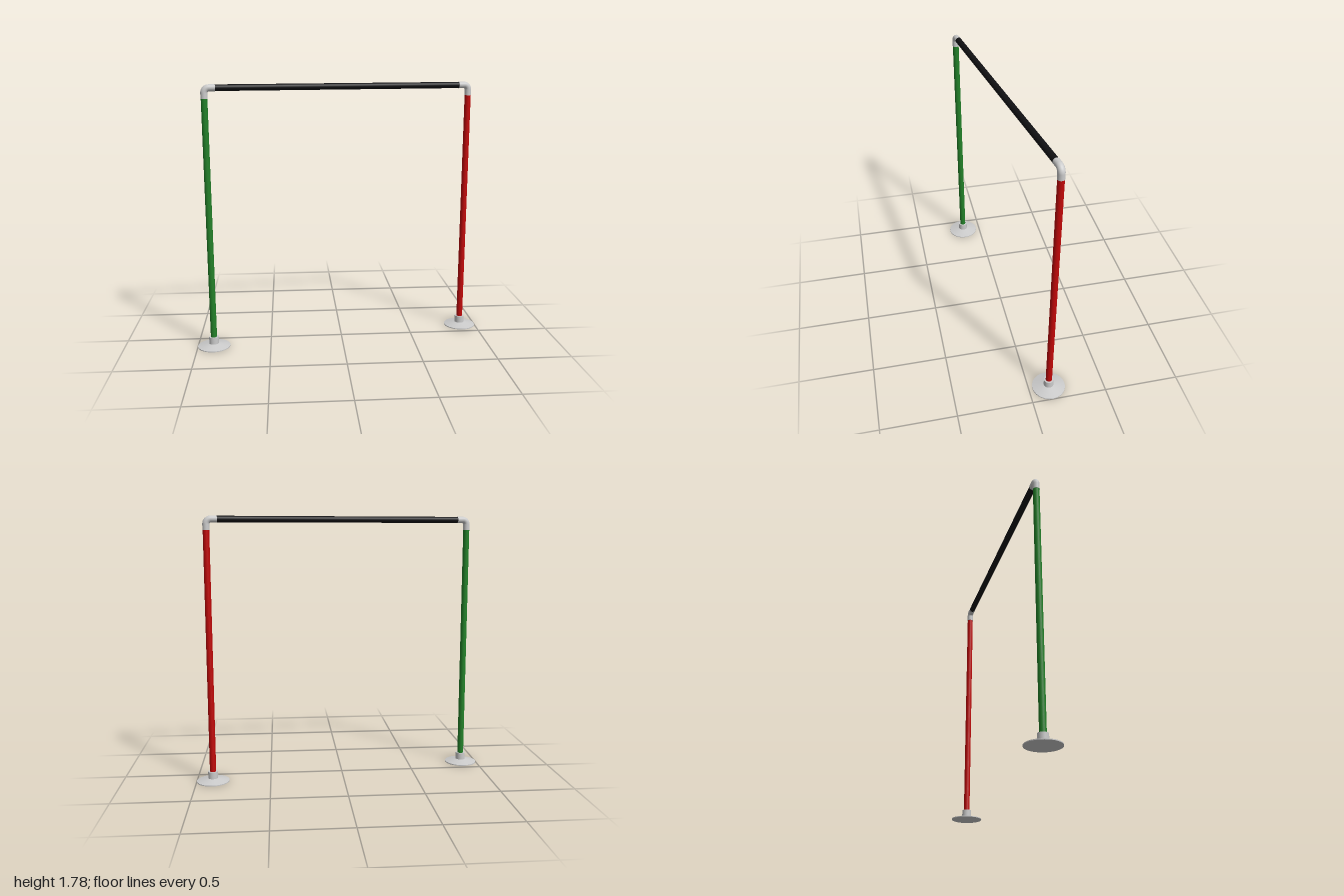
import * as THREE from 'three';

const BAR_Y = 1.757;   // axis height of the crossbar
const HALF = 0.9;      // half the distance between the posts
const PIPE_R = 0.021;
const BEND = 0.032;    // bend radius of the elbow's axis
const LEG = 0.07;      // elbow reach from its corner

const material = (color) => new THREE.MeshStandardMaterial({ color });

function add(parent, name, geometry, mat) {
  const mesh = new THREE.Mesh(geometry, mat);
  mesh.name = name;
  parent.add(mesh);
  return mesh;
}

// Lathe with hard edges: each profile segment gets its own smooth band
function addTurned(parent, name, points, mat) {
  const part = new THREE.Group();
  part.name = name;
  for (let i = 0; i < points.length - 1; i++) {
    const band = points.slice(i, i + 2).map(([r, y]) => new THREE.Vector2(r, y));
    add(part, name + 'Band', new THREE.LatheGeometry(band, 48), mat);
  }
  parent.add(part);
}

// Flange foot, post and elbow; the elbow turns toward local -x
function makeUpright(name, color, grey) {
  const upright = new THREE.Group();
  upright.name = name;

  addTurned(upright, 'foot', [
    [0, 0], [0.11, 0], [0.11, 0.006], [0.033, 0.023],
    [0.033, 0.07], [0.018, 0.07],
  ], grey);

  const bottom = 0.05, top = BAR_Y - LEG;
  const post = add(upright, 'post',
    new THREE.CylinderGeometry(PIPE_R, PIPE_R, top - bottom, 32), material(color));
  post.position.y = (top + bottom) / 2;

  // Quarter bend with a short straight sleeve at each end
  const quarter = [];
  for (let i = 0; i <= 12; i++) {
    const a = (i / 12) * Math.PI / 2;
    quarter.push(new THREE.Vector3(
      -BEND + BEND * Math.cos(a), BAR_Y - BEND + BEND * Math.sin(a), 0));
  }
  const path = new THREE.CurvePath();
  path.add(new THREE.LineCurve3(new THREE.Vector3(0, top, 0), quarter[0]));
  path.add(new THREE.CatmullRomCurve3(quarter));
  path.add(new THREE.LineCurve3(quarter[12], new THREE.Vector3(-LEG, BAR_Y, 0)));
  add(upright, 'elbow', new THREE.TubeGeometry(path, 40, 0.0225, 32), grey);

  // End rings of the elbow
  const ringGeometry = new THREE.RingGeometry(0.015, 0.0225, 32);
  const lower = add(upright, 'elbowLowerRim', ringGeometry, grey);
  lower.rotation.x = Math.PI / 2;
  lower.position.y = top;
  const inner = add(upright, 'elbowInnerRim', ringGeometry, grey);
  inner.rotation.y = -Math.PI / 2;
  inner.position.set(-LEG, BAR_Y, 0);
  return upright;
}

export function createModel() {
  const model = new THREE.Group();
  model.name = 'gateFrame';
  const grey = material(0xcccccc);

  const frame = new THREE.Group();
  frame.name = 'frame';
  frame.rotation.y = Math.atan2(0.136, 0.89);
  model.add(frame);

  const left = makeUpright('leftUpright', 0xc00808, grey);
  left.position.x = HALF;
  const right = makeUpright('rightUpright', 0x228028, grey);
  right.position.x = -HALF;
  right.rotation.y = Math.PI;
  frame.add(left, right);

  // Crossbar between the two elbows
  const bar = add(frame, 'crossbar',
    new THREE.CylinderGeometry(PIPE_R, PIPE_R, 2 * (HALF - LEG), 32), material(0x111113));
  bar.rotation.z = Math.PI / 2;
  bar.position.y = BAR_Y;

  return model;
}
